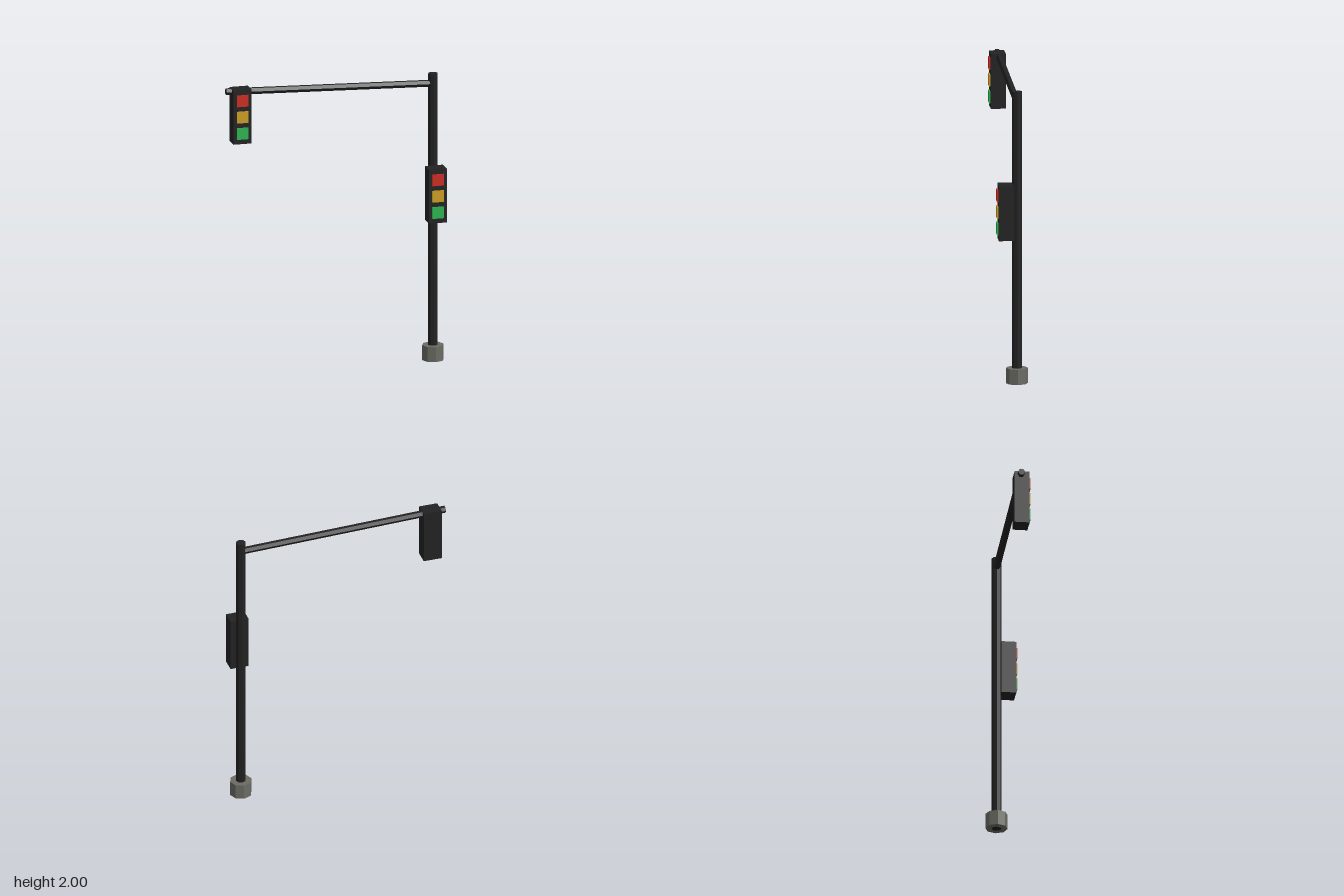
import * as THREE from 'three';

const material = (name, color) => {
  const m = new THREE.MeshStandardMaterial({ color, flatShading: true });
  m.name = name;
  return m;
};

export function createModel() {
  const metal = material('blackMetal', 0x222222);
  const concrete = material('greyConcrete', 0x6b6b64);
  const lamps = [
    ['redLamp', material('signalRed', 0xcc2c22)],
    ['amberLamp', material('signalAmber', 0xcc9f22)],
    ['greenLamp', material('signalGreen', 0x2cb450)],
  ];
  const model = new THREE.Group();
  model.name = 'trafficSignal';

  const add = (parent, name, geometry, mat, x, y, z) => {
    const mesh = new THREE.Mesh(geometry, mat);
    mesh.name = name;
    mesh.position.set(x, y, z);
    parent.add(mesh);
    return mesh;
  };

  const poleX = 0.683, poleZ = -0.032;

  // Octagonal footing; the pole foot shows through its underside
  add(model, 'footing', new THREE.CylinderGeometry(0.075, 0.075, 0.104, 8), concrete, poleX, 0.053, poleZ);
  add(model, 'pole', new THREE.CylinderGeometry(0.033, 0.033, 2, 8), metal, poleX, 1, poleZ);

  // Six-sided arm rising slightly towards its free end
  const start = new THREE.Vector3(poleX, 1.93, poleZ);
  const end = new THREE.Vector3(-0.76, 1.979, poleZ);
  const dir = end.clone().sub(start);
  const mid = start.clone().add(end).multiplyScalar(0.5);
  const arm = add(model, 'arm', new THREE.CylinderGeometry(0.024, 0.024, dir.length(), 6), metal, mid.x, mid.y, mid.z);
  arm.rotation.z = Math.atan2(-dir.x, dir.y);

  // Signal head: a box with three square lamps on its front
  const addHead = (name, x, y, z) => {
    const head = new THREE.Group();
    head.name = name;
    head.position.set(x, y, z);
    add(head, 'housing', new THREE.BoxGeometry(0.127, 0.376, 0.101), metal, 0, 0, 0);
    lamps.forEach(([lampName, mat], i) =>
      add(head, lampName, new THREE.BoxGeometry(0.08, 0.08, 0.012), mat, 0, 0.114 * (1 - i), 0.0545));
    model.add(head);
  };
  addHead('armSignalHead', -0.66, 1.81, -0.025);
  addHead('poleSignalHead', poleX, 1.175, 0.044);

  return model;
}
